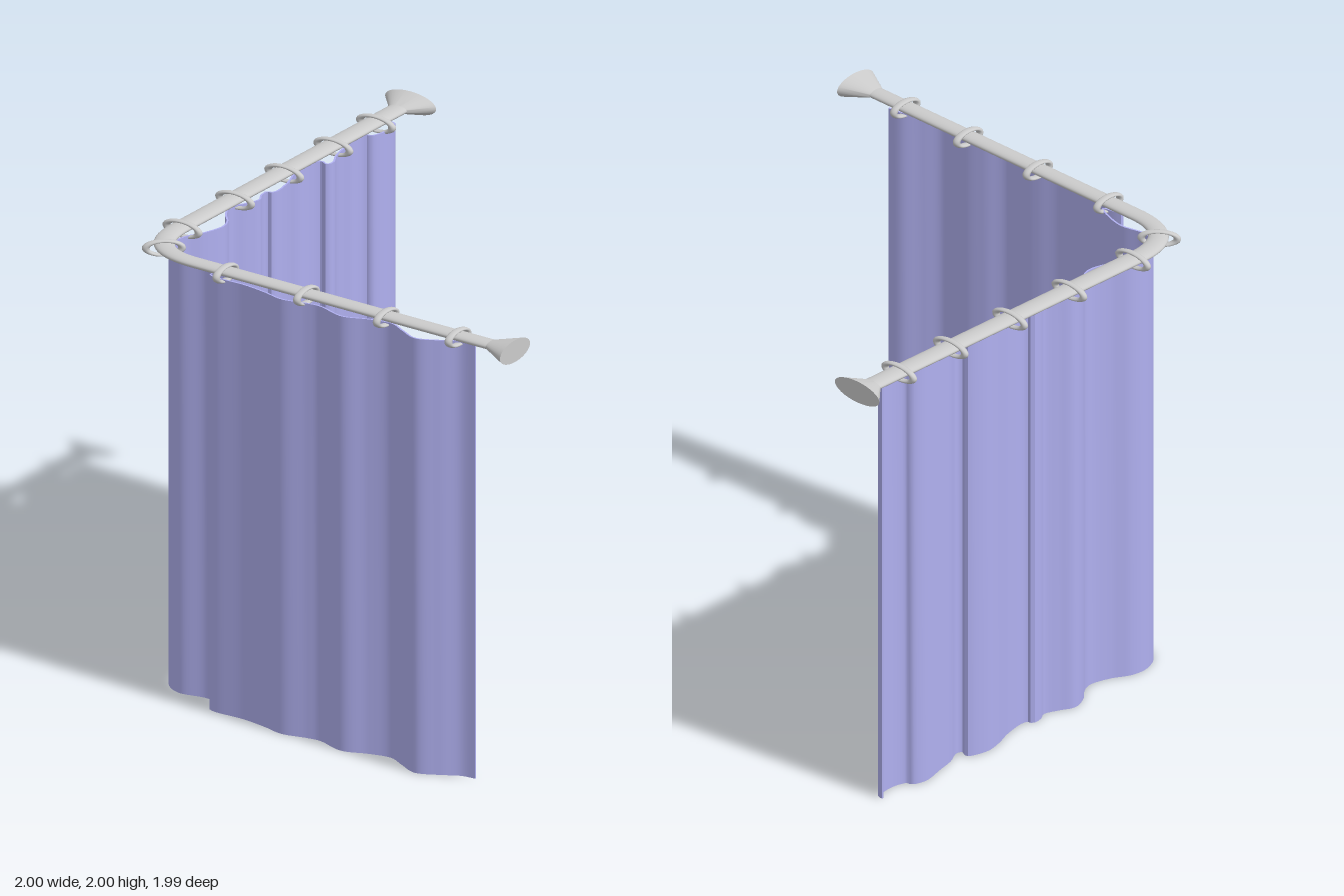
import * as THREE from 'three';
import { toCreasedNormals } from 'three/addons/utils/BufferGeometryUtils.js';

const SZ = 0.83; // the hardware is squashed in depth and height
const SY = 0.38;

// Curtain path seen from above as [x, z], back end to front end
const FOLDS = [
  [-0.86, -0.84], [-0.83, -0.83], [-0.815, -0.75], [-0.83, -0.68], [-0.86, -0.665],
  [-0.875, -0.6], [-0.85, -0.5], [-0.83, -0.42], [-0.8, -0.36], [-0.81, -0.325],
  [-0.85, -0.335], [-0.875, -0.25], [-0.86, -0.17], [-0.83, -0.09], [-0.81, 0],
  [-0.815, 0.045], [-0.84, 0.055], [-0.835, 0.1], [-0.815, 0.14], [-0.835, 0.2],
  [-0.865, 0.27], [-0.84, 0.34], [-0.79, 0.4], [-0.772, 0.46], [-0.795, 0.55],
  [-0.835, 0.63], [-0.84, 0.71], [-0.8, 0.79], [-0.72, 0.832], [-0.6, 0.812],
  [-0.5, 0.835], [-0.44, 0.865], [-0.495, 0.88], [-0.525, 0.893], [-0.48, 0.91],
  [-0.35, 0.905], [-0.23, 0.92], [-0.13, 0.94], [-0.02, 0.915], [0.05, 0.91],
  [0.17, 0.943], [0.28, 0.905], [0.38, 0.885], [0.46, 0.92], [0.55, 0.957],
  [0.64, 0.92], [0.72, 0.875], [0.788, 0.865],
];

function curtainGeometry(height, thickness) {
  const path = new THREE.SplineCurve(FOLDS.map(([x, z]) => new THREE.Vector2(x, z)));
  const n = 260;
  const sides = [[], []];
  for (let i = 0; i <= n; i++) {
    const p = path.getPointAt(i / n);
    const t = path.getTangentAt(i / n);
    const offset = new THREE.Vector2(-t.y, t.x).multiplyScalar(thickness / 2);
    sides[0].push(p.clone().add(offset));
    sides[1].push(p.clone().sub(offset));
  }
  const outline = new THREE.Shape([...sides[0], ...sides[1].reverse()]);
  const geo = new THREE.ExtrudeGeometry(outline, { depth: height, bevelEnabled: false });
  geo.rotateX(Math.PI / 2).translate(0, height, 0);
  return toCreasedNormals(geo, 0.7);
}

export function createModel() {
  const model = new THREE.Group();
  const metal = new THREE.MeshStandardMaterial({ color: 0xcccccc });
  const cloth = new THREE.MeshStandardMaterial({ color: 0xb0b0f0, side: THREE.DoubleSide });

  const hardware = new THREE.Group();
  hardware.name = 'rail';
  hardware.position.y = 1.952;
  hardware.scale.set(1, SY, SZ);
  model.add(hardware);

  const add = (parent, name, geo, mat) => {
    const mesh = new THREE.Mesh(geo, mat);
    mesh.name = name;
    parent.add(mesh);
    return mesh;
  };
  const at = (x, z) => new THREE.Vector3(x, 0, z / SZ);

  // L-shaped rod with a rounded corner
  const rodPath = new THREE.CurvePath();
  rodPath.add(new THREE.LineCurve3(at(-0.87, -0.95), at(-0.87, 0.62)));
  rodPath.add(new THREE.QuadraticBezierCurve3(at(-0.87, 0.62), at(-0.87, 0.885), at(-0.61, 0.885)));
  rodPath.add(new THREE.LineCurve3(at(-0.61, 0.885), at(0.95, 0.885)));
  add(hardware, 'rod', new THREE.TubeGeometry(rodPath, 160, 0.046, 24), metal);

  // Flared wall mounts
  const mount = (length) => toCreasedNormals(new THREE.CylinderGeometry(0.128, 0.046, length, 32), 0.7);
  const backMount = add(hardware, 'backWallMount', mount(0.09 / SZ), metal);
  backMount.rotation.x = -Math.PI / 2;
  backMount.position.copy(at(-0.87, -0.955));
  const sideMount = add(hardware, 'sideWallMount', mount(0.12), metal);
  sideMount.rotation.z = -Math.PI / 2;
  sideMount.position.copy(at(0.94, 0.885));

  // Curtain rings: x, z, turn
  const rings = [
    ...[-0.75, -0.45, -0.105, 0.24, 0.61].map((z) => [-0.865, z, 0]),
    [-0.81, 0.818, Math.PI / 4],
    ...[-0.45, -0.045, 0.355, 0.715].map((x) => [x, 0.887, Math.PI / 2]),
  ];
  const ringGeo = new THREE.TorusGeometry(0.081, 0.017, 12, 36);
  for (const [x, z, turn] of rings) {
    const ring = add(hardware, 'ring', ringGeo, metal);
    ring.position.copy(at(x, z)).setY(-0.02);
    ring.rotation.y = turn;
  }

  // Draped cloth
  add(model, 'curtain', curtainGeometry(1.925, 0.008), cloth);
  return model;
}
